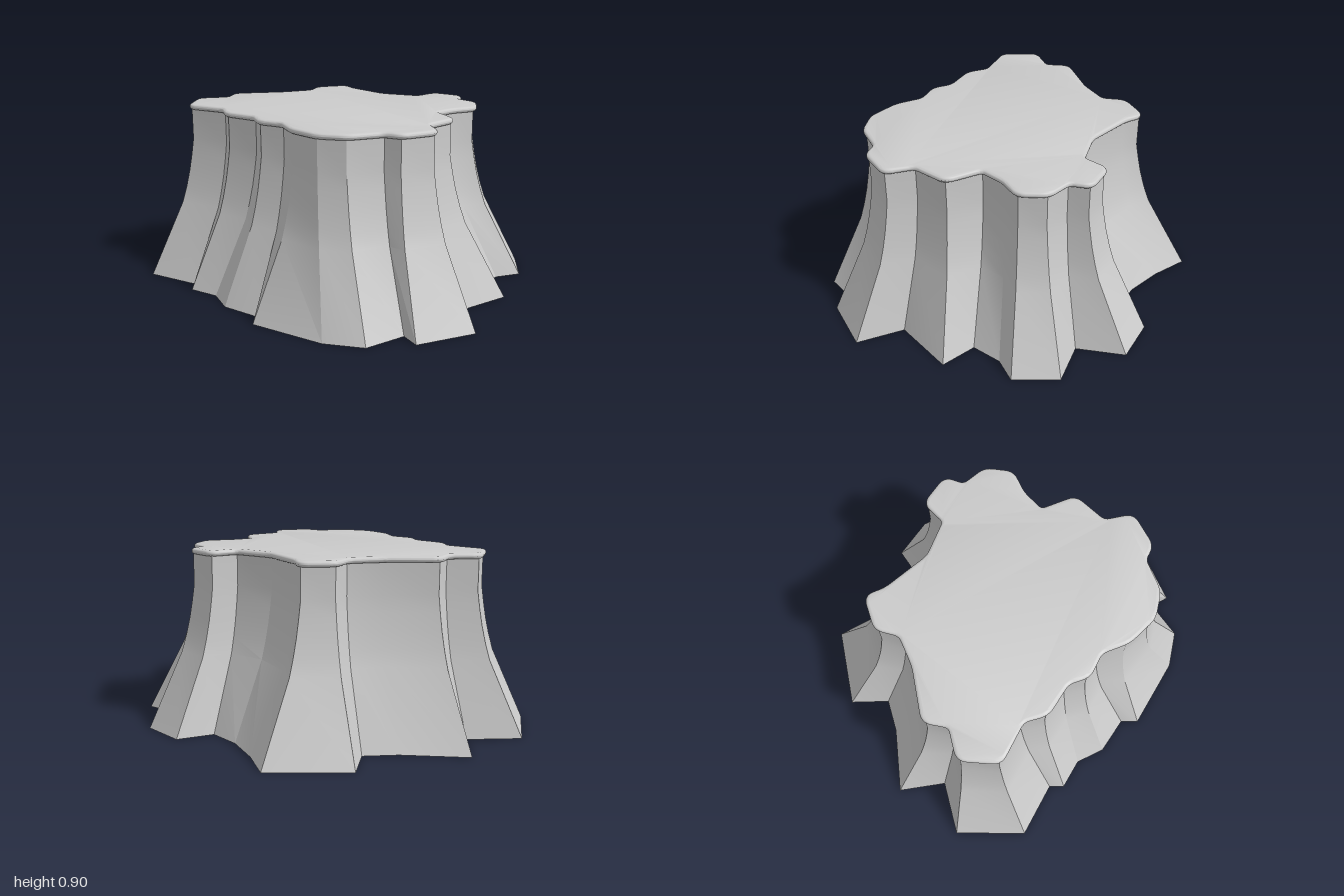
import * as THREE from 'three';
import { toCreasedNormals } from 'three/addons/utils/BufferGeometryUtils.js';

// Each fold line: [top x, top z, hem x, hem z], running clockwise seen from above
const folds = [
  [-0.01, -0.59, -0.11, -0.84], [0.14, -0.63, 0.12, -0.9],
  [0.19, -0.54, 0.26, -0.69], [0.33, -0.54, 0.47, -0.78],
  [0.42, -0.44, 0.64, -0.61], [0.385, -0.32, 0.59, -0.48],
  [0.39, -0.18, 0.61, -0.32], [0.57, -0.12, 0.8, -0.3],
  [0.59, 0.07, 0.77, 0.03], [0.72, 0.14, 1, 0.13],
  [0.68, 0.31, 0.91, 0.42], [0.6, 0.34, 0.81, 0.4],
  [0.54, 0.51, 0.79, 0.61], [0.43, 0.59, 0.63, 0.73],
  [0.26, 0.6, 0.26, 0.85], [0.12, 0.55, 0.19, 0.79],
  [0, 0.6, 0, 0.84], [-0.1, 0.56, -0.15, 0.8],
  [-0.27, 0.61, -0.3, 0.85], [-0.38, 0.56, -0.36, 0.8],
  [-0.58, 0.64, -0.63, 0.9], [-0.71, 0.51, -0.91, 0.66],
  [-0.64, 0.37, -0.79, 0.41], [-0.72, 0.27, -1, 0.28],
  [-0.59, 0.04, -0.81, 0], [-0.54, -0.13, -0.74, -0.16],
  [-0.61, -0.23, -0.9, -0.29], [-0.55, -0.38, -0.7, -0.66],
  [-0.46, -0.35, -0.5, -0.62], [-0.19, -0.35, -0.3, -0.61],
  [0, -0.45, -0.13, -0.65],
];

// Height and flare (0 = top outline, 1 = hem) of each row of the skirt
const rows = [[0.89, 0], [0.72, 0], [0.635, 0.05], [0.55, 0.11], [0.465, 0.19], [0.38, 0.29], [0, 1]];

function skirtGeometry() {
  const pos = [], index = [], n = folds.length;
  rows.forEach(([y, t], r) => folds.forEach(([x0, z0, x1, z1], i) => {
    pos.push(x0 + (x1 - x0) * t, y, z0 + (z1 - z0) * t);
    if (r === rows.length - 1) return;
    const a = r * n + i, b = r * n + (i + 1) % n;
    index.push(a, b, a + n, b, b + n, a + n);
  }));
  const g = new THREE.BufferGeometry();
  g.setAttribute('position', new THREE.Float32BufferAttribute(pos, 3));
  g.setIndex(index);
  return toCreasedNormals(g, 0.42);
}

// Top outline with each corner rounded off
function topShape() {
  const pts = folds.map(([x, z]) => new THREE.Vector2(x, -z));
  const shape = new THREE.Shape();
  pts.forEach((p, i) => {
    const prev = pts[(i + pts.length - 1) % pts.length], next = pts[(i + 1) % pts.length];
    const cut = (q) => p.clone().lerp(q, Math.min(0.4, 0.035 / p.distanceTo(q)));
    const a = cut(prev), b = cut(next);
    if (i === 0) shape.moveTo(a.x, a.y);
    else shape.lineTo(a.x, a.y);
    shape.quadraticCurveTo(p.x, p.y, b.x, b.y);
  });
  shape.closePath();
  return shape;
}

export function createModel() {
  const group = new THREE.Group();
  const material = new THREE.MeshStandardMaterial({ color: 0xcccccc, side: THREE.DoubleSide });

  // Flared, pleated wall, open at the bottom
  const skirt = new THREE.Mesh(skirtGeometry(), material);
  skirt.name = 'skirt';

  // Thin flat top with a rounded, slightly overhanging rim
  const slab = new THREE.ExtrudeGeometry(topShape(), {
    depth: 0.002, bevelThickness: 0.014, bevelSize: 0.018, bevelSegments: 4, curveSegments: 5,
  });
  slab.rotateX(-Math.PI / 2);
  slab.translate(0, 0.889, 0);
  const top = new THREE.Mesh(toCreasedNormals(slab, 0.7), material);
  top.name = 'top';

  group.add(skirt, top);
  return group;
}
